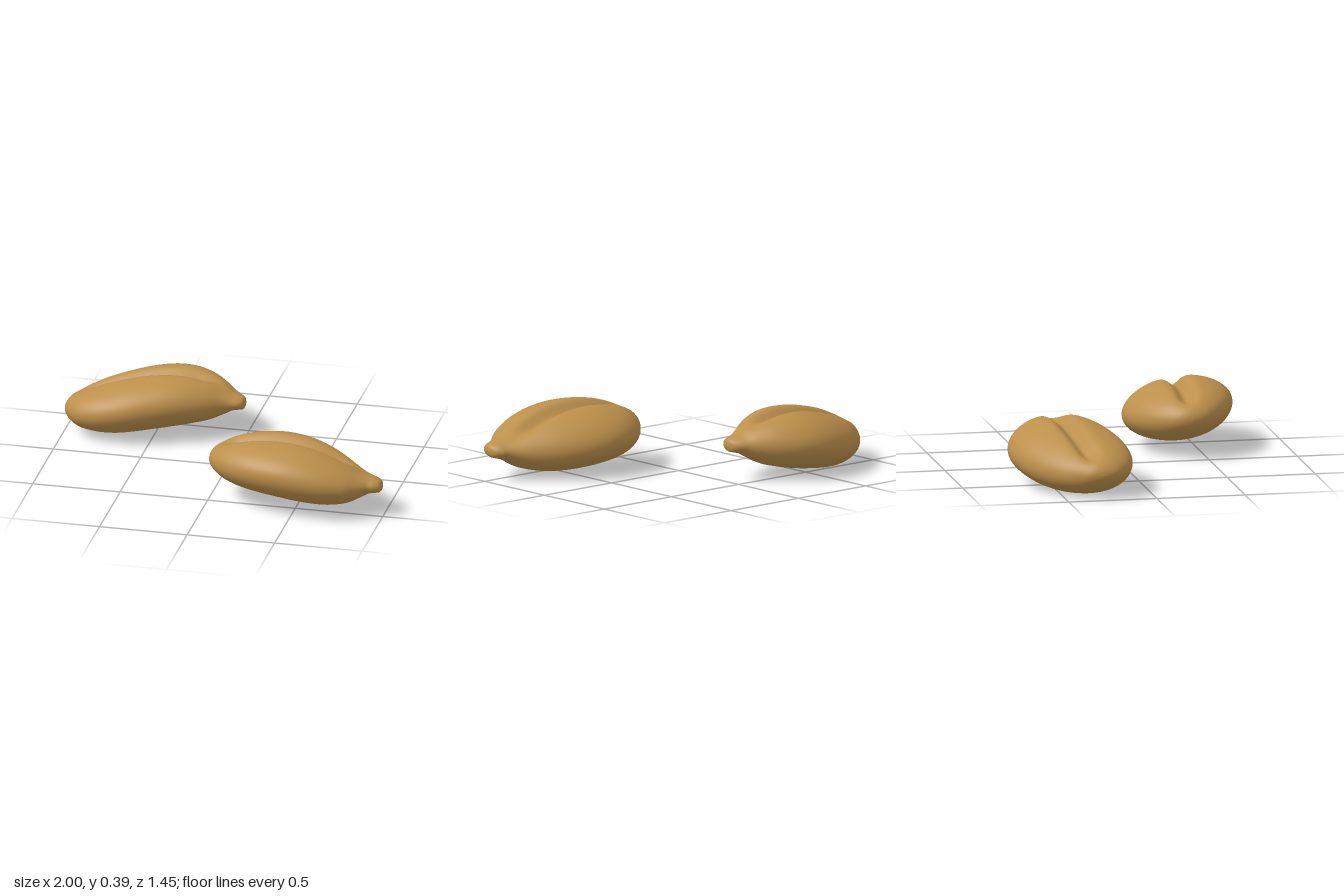
import * as THREE from 'three';
import { mergeVertices } from 'three/addons/utils/BufferGeometryUtils.js';

const { smoothstep } = THREE.MathUtils;
const LENGTH_STEPS = 90, RING_STEPS = 128;

// Each station along a grain: [x, back z, front z, bottom y, top y]
const rightStations = [
  [-1, -.3, -.3, .14, .14], [-.992, -.36, -.245, .11, .17], [-.965, -.415, -.195, .072, .203],
  [-.9, -.505, -.135, .03, .245], [-.8, -.59, -.097, .008, .287], [-.7, -.65, -.088, .002, .317],
  [-.6, -.695, -.1, .01, .341], [-.5, -.72, -.125, .024, .358], [-.4, -.724, -.157, .04, .366],
  [-.3, -.698, -.2, .06, .36], [-.2, -.64, -.258, .086, .335], [-.12, -.568, -.313, .125, .296],
  [-.07, -.515, -.336, .155, .266], [-.03, -.482, -.347, .167, .25], [-.005, -.45, -.368, .175, .238],
  [.005, -.41, -.41, .207, .207],
];
const leftStations = [
  [-.008, .41, .41, .23, .23], [0, .35, .465, .195, .262], [.03, .29, .522, .157, .297],
  [.1, .21, .592, .112, .337], [.2, .14, .653, .08, .366], [.3, .102, .69, .062, .381],
  [.4, .09, .712, .05, .386], [.5, .105, .72, .04, .38], [.6, .142, .714, .035, .362],
  [.7, .2, .694, .04, .331], [.8, .278, .652, .063, .286], [.87, .338, .598, .098, .247],
  [.92, .378, .556, .125, .227], [.955, .398, .544, .132, .219], [.985, .43, .523, .145, .202],
  [.995, .48, .48, .175, .175],
];

// Smooth interpolation through the stations, one column at a time
function sample(stations, t) {
  const last = stations.length - 1;
  const f = t * last, i = Math.min(Math.floor(f), last - 1), s = f - i;
  const at = (k) => stations[Math.min(Math.max(k, 0), last)];
  return stations[0].map((_, c) => {
    const [p0, p1, p2, p3] = [at(i - 1)[c], at(i)[c], at(i + 1)[c], at(i + 2)[c]];
    const m1 = (p2 - p0) / 2, m2 = (p3 - p1) / 2;
    return p1 + s * (m1 + s * (3 * (p2 - p1) - 2 * m1 - m2 + s * (2 * (p1 - p2) + m1 + m2)));
  });
}

// Loft of elliptical rings, rolled slightly, with a crease pressed in along the top
function grainGeometry(stations, roll, creaseZ) {
  const x0 = stations[0][0];
  const positions = [], indices = [], row = RING_STEPS + 1;
  for (let i = 0; i <= LENGTH_STEPS; i++) {
    const [x, back, front, bottom, top] = sample(stations, i / LENGTH_STEPS);
    const cz = (back + front) / 2, w = (front - back) / 2;
    const cy = (bottom + top) / 2, h = (top - bottom) / 2;
    const along = x - x0;
    const fade = smoothstep(along, .03, .17) * (1 - smoothstep(along, .7, .9));
    for (let j = 0; j <= RING_STEPS; j++) {
      const a = (j % RING_STEPS) / RING_STEPS * Math.PI * 2;
      const z = cz + w * Math.cos(a);
      const groove = .055 * fade * Math.max(0, Math.sin(a)) * Math.exp(-(((z - creaseZ(along)) / .047) ** 2));
      positions.push(x, cy + h * Math.sin(a) + roll * (z - cz) - groove, z);
      if (i < LENGTH_STEPS && j < RING_STEPS) {
        const k = i * row + j;
        indices.push(k, k + row, k + 1, k + 1, k + row, k + row + 1);
      }
    }
  }
  const geometry = new THREE.BufferGeometry();
  geometry.setAttribute('position', new THREE.Float32BufferAttribute(positions, 3));
  geometry.setIndex(indices);
  const welded = mergeVertices(geometry, 1e-5);
  welded.computeVertexNormals();
  return welded;
}

export function createModel() {
  const model = new THREE.Group();
  model.name = 'grains';
  const husk = new THREE.MeshStandardMaterial({ color: 0xbc8f4b });
  husk.name = 'golden husk';

  const add = (name, stations, roll, creaseZ) => {
    const mesh = new THREE.Mesh(grainGeometry(stations, roll, creaseZ), husk);
    mesh.name = name;
    model.add(mesh);
  };
  add('rightGrain', rightStations, .07, (d) => -.43 + .1 * (1 - Math.min(d / .85, 1)) ** 2);
  add('leftGrain', leftStations, .1, (d) => .4 + .03 * d * d);
  return model;
}
